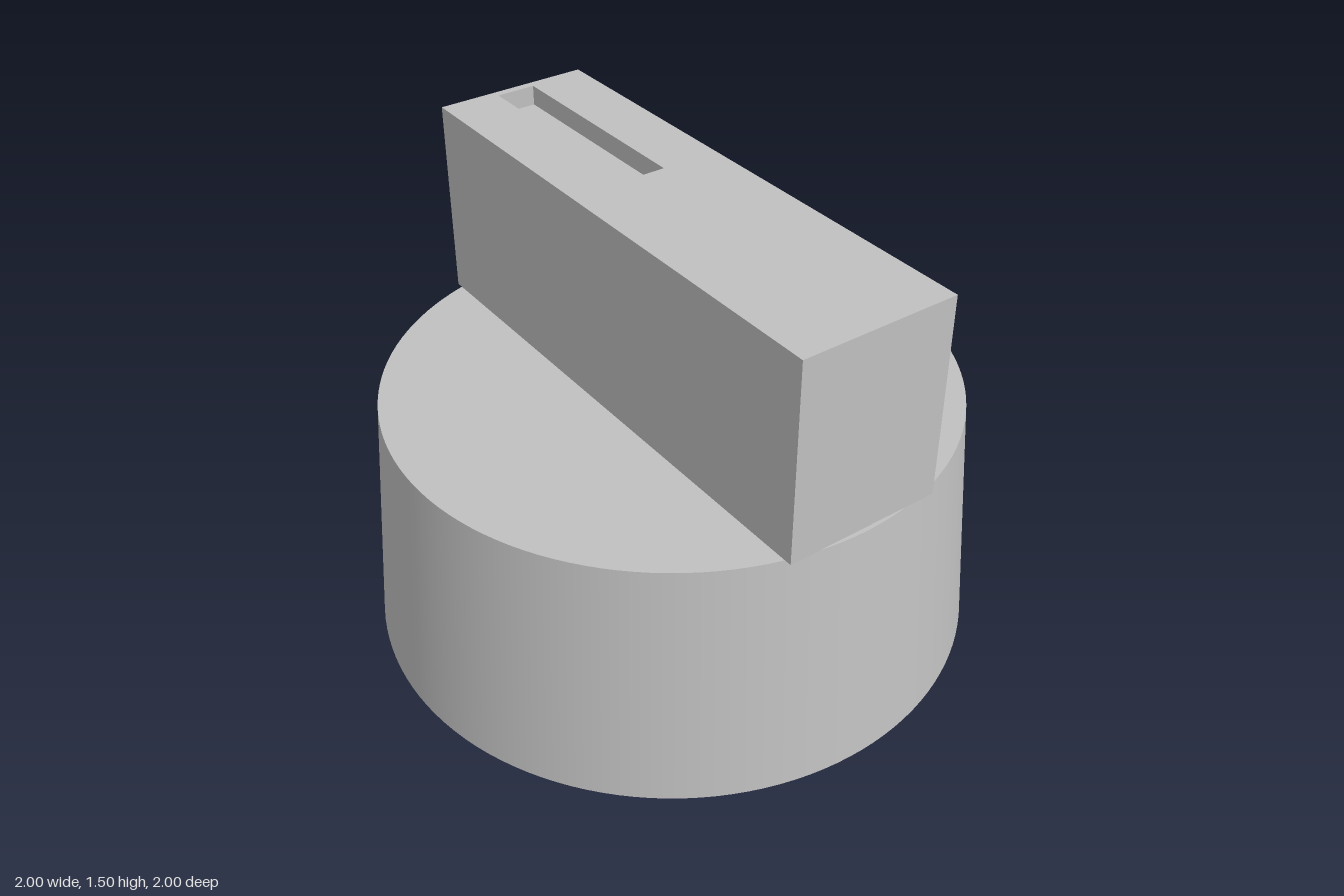
import * as THREE from 'three';
import { mergeGeometries } from 'three/addons/utils/BufferGeometryUtils.js';

const BASE_HEIGHT = 0.835, TOP = 1.505;
const GRIP = { w: 0.53, d: 1.836 };
const SLOT = { w: 0.134, d: 0.755, depth: 0.067, z: -0.5125 };

// Box without its top face
function openBox(w, h, d) {
  const geo = new THREE.BoxGeometry(w, h, d);
  const index = Array.from(geo.index.array);
  index.splice(12, 6);
  geo.setIndex(index);
  geo.clearGroups();
  return geo;
}

// Corners of a rectangle on the shape plane, where shape y becomes -z
function rectangle(w, d, z) {
  return [[-1, -1], [1, -1], [1, 1], [-1, 1]].map(
    ([sx, sy]) => new THREE.Vector2(sx * w / 2, -z + sy * d / 2));
}

function gripGeometry() {
  // Outer walls and underside
  const height = TOP - BASE_HEIGHT;
  const walls = openBox(GRIP.w, height, GRIP.d).translate(0, BASE_HEIGHT + height / 2, 0);

  // Top face with the slot opening
  const outline = new THREE.Shape(rectangle(GRIP.w, GRIP.d, 0));
  outline.holes.push(new THREE.Path(rectangle(SLOT.w, SLOT.d, SLOT.z).reverse()));
  const top = new THREE.ShapeGeometry(outline).rotateX(-Math.PI / 2).translate(0, TOP, 0);

  // Recessed slot: an open box turned inside out
  const slot = openBox(SLOT.w, SLOT.depth, SLOT.d).scale(-1, 1, 1);
  slot.computeVertexNormals();
  slot.translate(0, TOP - SLOT.depth / 2, SLOT.z);

  return mergeGeometries([walls, top, slot]);
}

export function createModel() {
  const grey = new THREE.MeshStandardMaterial({ color: 0xc0c0c0 });
  grey.name = 'plain grey';

  const model = new THREE.Group();
  model.name = 'controlKnob';

  // Tapered round base
  const base = new THREE.Mesh(
    new THREE.CylinderGeometry(0.932, 1, BASE_HEIGHT, 128).translate(0, BASE_HEIGHT / 2, 0), grey);
  base.name = 'base';

  // Bar grip with the pointer slot
  const grip = new THREE.Mesh(gripGeometry(), grey);
  grip.name = 'grip';

  model.add(base, grip);
  return model;
}
